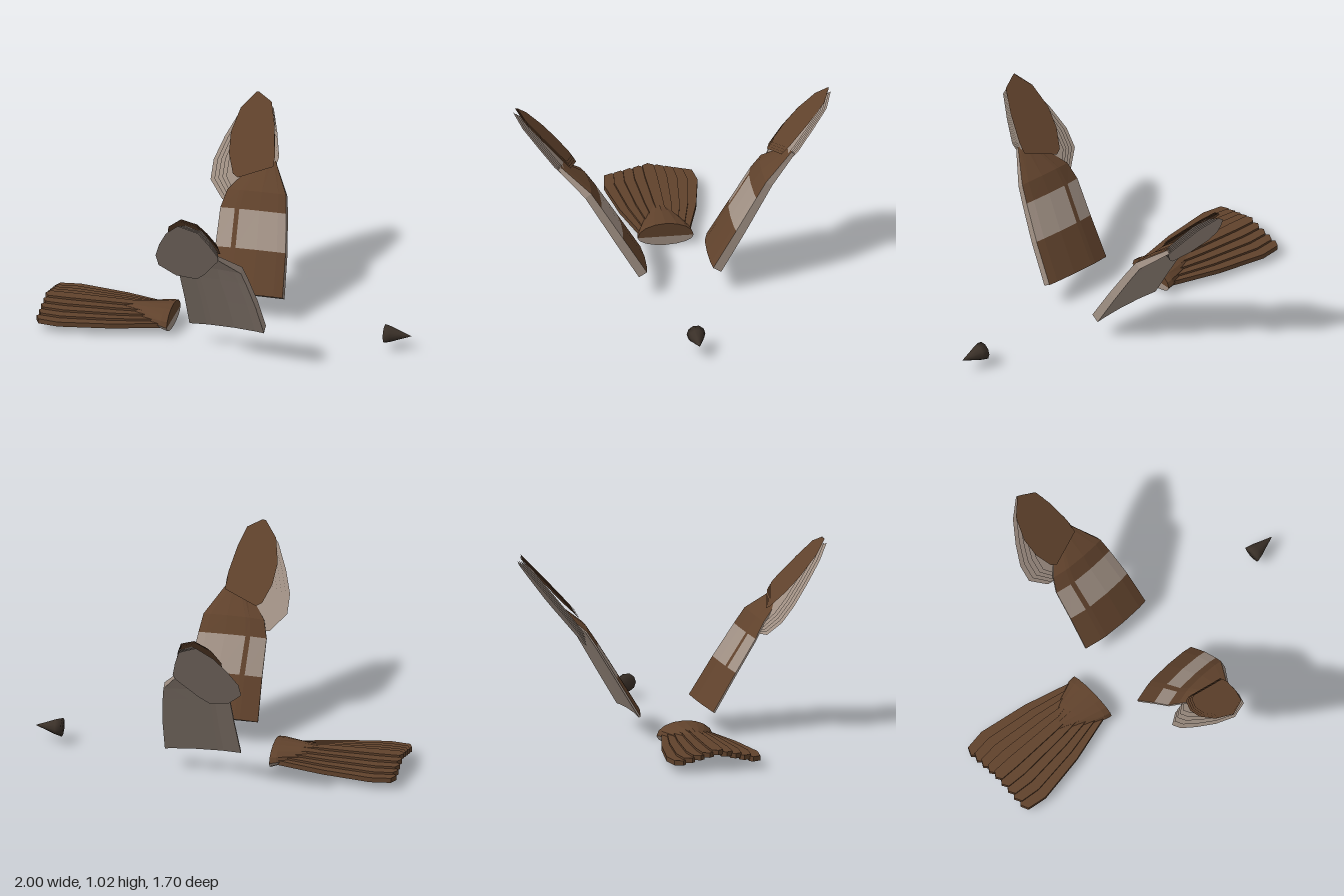
import * as THREE from 'three';

const mat = (name, color) => new THREE.MeshStandardMaterial({ name, color, side: THREE.DoubleSide });

// Flat-shaded mesh from quads of points, optionally mirrored in z
function quadMesh(name, quads, material, side = 1) {
  const pos = [];
  for (const q of quads) {
    const [a, b, c, d] = side > 0 ? q : [...q].reverse();
    for (const p of [a, b, c, a, c, d]) pos.push(p[0], p[1], p[2] * side);
  }
  const g = new THREE.BufferGeometry();
  g.setAttribute('position', new THREE.Float32BufferAttribute(pos, 3));
  g.computeVertexNormals();
  const m = new THREE.Mesh(g, material);
  m.name = name;
  return m;
}

// Thin feather sheet: outline in (x, v), laid along a sloping line in the yz plane
function sheet(name, outline, origin, dir, lift, material, side) {
  const shape = new THREE.Shape(outline.map(p => new THREE.Vector2(p[0], p[1])));
  const g = new THREE.ShapeGeometry(shape);
  const p = g.attributes.position;
  for (let i = 0; i < p.count; i++) {
    const v = p.getY(i);
    p.setXYZ(i, p.getX(i), origin[1] + v * dir[1] + lift * dir[0],
      side * (origin[0] + v * dir[0] - lift * dir[1]));
  }
  // Sheets face up and inward
  const idx = g.index.array;
  if (side > 0) for (let i = 0; i < idx.length; i += 3) [idx[i], idx[i + 1]] = [idx[i + 1], idx[i]];
  g.computeVertexNormals();
  const m = new THREE.Mesh(g, material);
  m.name = name;
  return m;
}

function wing(side, brown, light) {
  const group = new THREE.Group();
  group.name = side > 0 ? 'rearSideWing' : 'farSideWing';
  group.name = side > 0 ? 'wingPositiveZ' : 'wingNegativeZ';

  // Spanwise stations: underside z, y, leading x, trailing x, thickness, lean
  const stations = [
    [0.22, 0.117, 0.25, -0.16, 1, 0.513, 0.858],
    [0.343, 0.323, 0.235, -0.155, 0.95, 0.513, 0.858],
    [0.45, 0.503, 0.21, -0.155, 0.85, 0.513, 0.858],
    [0.5, 0.585, 0.195, -0.13, 0.8, 0.6, 0.8],
    [0.633, 0.713, 0.1, 0.0, 0.45, 0.72, 0.69],
  ];
  const us = [0, 0.12, 0.4, 0.7, 0.77, 1];
  const topH = [0.05, 0.058, 0.062, 0.055, 0.05, 0.024];
  const lowH = [0, 0.006, 0.015, 0.018, 0.018, 0.014];
  const row = hs => stations.map(([z, y, x0, x1, t, dz, dy]) =>
    us.map((u, j) => [x0 + (x1 - x0) * u, y + hs[j] * t * dz, z - hs[j] * t * dy]));
  const top = row(topH), low = row(lowH);
  const n = us.length - 1;

  const dark = [], band = [], under = [];
  for (let i = 0; i < stations.length - 1; i++) {
    for (let j = 0; j < n; j++) {
      // Pale band across the second bay, broken by a narrow brown strip
      (i === 1 && j !== 3 ? band : dark).push([top[i][j], top[i][j + 1], top[i + 1][j + 1], top[i + 1][j]]);
      under.push([low[i][j], low[i + 1][j], low[i + 1][j + 1], low[i][j + 1]]);
    }
    under.push([low[i][0], top[i][0], top[i + 1][0], low[i + 1][0]]);
    under.push([top[i][n], low[i][n], low[i + 1][n], top[i + 1][n]]);
  }
  // Root and tip ends
  for (let j = 0; j < n; j++) {
    under.push([top[0][j], low[0][j], low[0][j + 1], top[0][j + 1]]);
    under.push([low[4][j], top[4][j], top[4][j + 1], low[4][j + 1]]);
  }
  group.add(quadMesh('innerWingTop', dark, brown, side));
  group.add(quadMesh('wingBand', band, light, side));
  group.add(quadMesh('innerWingUnderside', under, light, side));

  // Pale outer feathers, fanned in overlapping layers
  const pale = [[-0.05, -0.03], [0, 0.03], [0.1, 0.2], [0.11, 0.25], [0.08, 0.38], [0.04, 0.51],
    [-0.06, 0.57], [-0.14, 0.47], [-0.2, 0.33], [-0.24, 0.2], [-0.24, 0.09], [-0.16, -0.01]];
  for (let k = 0; k < 5; k++) {
    const s = 1 - 0.07 * k;
    const outline = pale.map(([x, v]) => [0.08 + (x - 0.08) * s, 0.25 + (v - 0.25) * (1 - 0.03 * k)]);
    group.add(sheet('paleFeather', outline, [0.5, 0.54], [0.613, 0.79], 0.008 * k, light, side));
  }
  // Brown outer feathers above them
  const cover = [[-0.08, 0], [0.1, 0.08], [0.1, 0.14], [0.07, 0.3], [0.03, 0.43], [-0.06, 0.485],
    [-0.13, 0.39], [-0.16, 0.25], [-0.15, 0.13], [-0.11, 0.02]];
  for (let k = 0; k < 4; k++) {
    const outline = cover.map(([x, v]) => [0.05 + (x - 0.05) * (1 - 0.04 * k), 0.48 + (v - 0.48) * (1 - 0.035 * k)]);
    group.add(sheet('brownFeather', outline, [0.51, 0.66], [0.68, 0.733], 0.004 * k, brown, side));
  }
  return group;
}

function tail(brown, light) {
  const group = new THREE.Group();
  group.name = 'tail';
  // Overlapping feathers, stepping down from the middle one
  const xs = [-0.31, -0.6, -0.87, -0.98], ws = [0.125, 0.205, 0.25, 0.235];
  for (let i = -4; i <= 4; i++) {
    const edge = k => xs.map((x, j) => new THREE.Vector2(x, ws[j] * (i + k * 0.6) / 4.6));
    const tip = new THREE.Vector2(-1, 0.22 * i / 4.6);
    const shape = new THREE.Shape([...edge(1), tip, ...edge(-1).reverse()]);
    const g = new THREE.ExtrudeGeometry(shape, { depth: 0.026, bevelEnabled: false });
    g.rotateX(-Math.PI / 2);
    g.translate(0, 0.087 - 0.0115 * Math.abs(i), 0);
    const m = new THREE.Mesh(g, brown);
    m.name = 'tailFeather';
    group.add(m);
  }
  // Rump stub: rounded upper and lower halves tapering into the feathers
  const rings = [[-0.3, 0.15, 0.077, 0.075], [-0.335, 0.145, 0.068, 0.066], [-0.45, 0.1, 0.062, 0.045], [-0.62, 0.015, 0.05, 0.015]];
  const N = 8;
  const half = sign => {
    const pts = rings.map(([x, w, u, l]) => Array.from({ length: N + 1 }, (_, j) => {
      const a = Math.PI * j / N;
      return [x, 0.05 + 0.025 * (x < -0.31 ? 0.3 : 0) + (sign > 0 ? u : -l * 0.68) * Math.sin(a), sign * w * Math.cos(a)];
    }));
    const quads = [];
    for (let j = 0; j < N; j++) {
      for (let i = 0; i < rings.length - 1; i++)
        quads.push([pts[i][j], pts[i][j + 1], pts[i + 1][j + 1], pts[i + 1][j]]);
      quads.push([[-0.3, 0.05, 0], pts[0][j + 1], pts[0][j], [-0.3, 0.05, 0]]);
    }
    return quads;
  };
  group.add(quadMesh('rumpTop', half(1), brown));
  group.add(quadMesh('rumpUnderside', half(-1), light));
  return group;
}

export function createModel() {
  const brown = mat('featherBrown', 0x60422c);
  const light = mat('paleFeather', 0xa09084);
  const horn = mat('beakDark', 0x3a3028);
  const model = new THREE.Group();
  model.name = 'bird';
  model.add(wing(1, brown, light), wing(-1, brown, light), tail(brown, light));

  // Beak: tapering cone along +x
  const profile = [[0, 0], [0.05, 0], [0.041, 0.035], [0.022, 0.085], [0.008, 0.125], [0, 0.145]];
  const g = new THREE.LatheGeometry(profile.map(p => new THREE.Vector2(...p)), 10);
  g.rotateZ(-Math.PI / 2);
  const beak = new THREE.Mesh(g, horn);
  beak.name = 'beak';
  beak.position.set(0.855, 0.087, 0);
  model.add(beak);
  return model;
}
